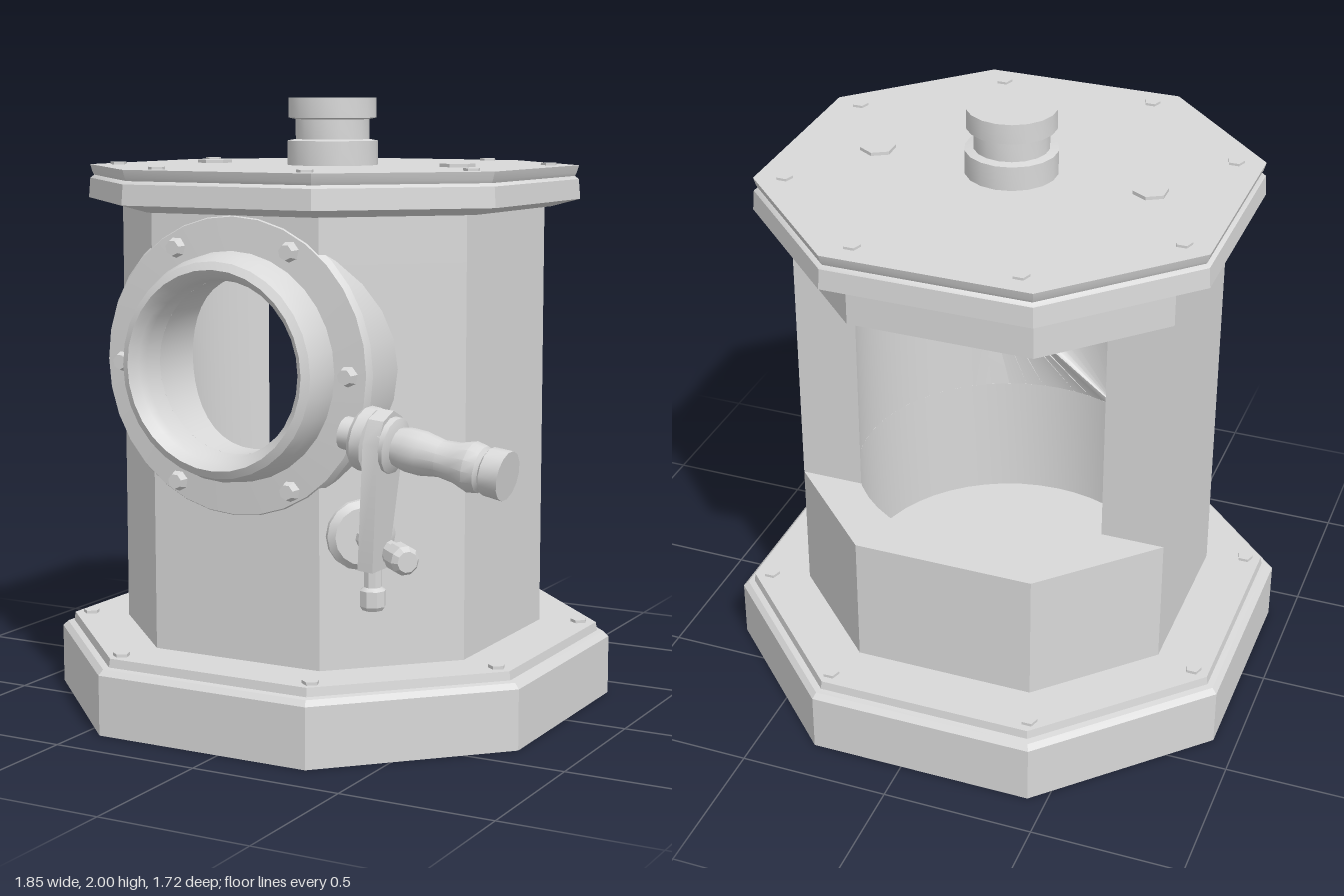
import * as THREE from 'three';
import { toCreasedNormals } from 'three/addons/utils/BufferGeometryUtils.js';

const AXIS = -0.065;          // x of the housing axis
const HALF = 0.635, FACE = 0.3; // body half width and half length of a straight face
const BORE = 0.52;            // radius of the round chamber
const SILL = 0.68, LINTEL = 1.5, PORT_Y = 1.175, PORT_R = 0.275;

const metal = new THREE.MeshStandardMaterial({ color: 0xd8d8d8 });
metal.name = 'grey metal';

const v2 = (list) => list.map(([x, y]) => new THREE.Vector2(x, y));

function add(parent, name, geometry, x = 0, y = 0, z = 0) {
  const mesh = new THREE.Mesh(toCreasedNormals(geometry, 0.5), metal);
  mesh.name = name;
  mesh.position.set(x, y, z);
  parent.add(mesh);
  return mesh;
}

// Change vertices by a rule
function reshape(geometry, rule) {
  const p = geometry.attributes.position;
  const v = new THREE.Vector3();
  for (let i = 0; i < p.count; i++) {
    rule(v.fromBufferAttribute(p, i));
    p.setXYZ(i, v.x, v.y, v.z);
  }
  return geometry;
}

// Eight-sided plate from a profile of [half width, height]
function octagonPlate(profile, ratio) {
  const geometry = new THREE.LatheGeometry(v2(profile), 8, Math.PI / 8);
  return reshape(geometry, (v) => {
    const half = Math.hypot(v.x, v.z);
    const alongX = Math.abs(v.x) > Math.abs(v.z);
    v.x = Math.sign(v.x) * half * (alongX ? 1 : ratio);
    v.z = Math.sign(v.z) * half * (alongX ? ratio : 1);
  });
}

function extrudeUp(shape, y0, y1) {
  const geometry = new THREE.ExtrudeGeometry(shape, { depth: y1 - y0, bevelEnabled: false, curveSegments: 24 });
  return geometry.rotateX(-Math.PI / 2).translate(0, y0, 0);
}

// Solid of revolution running from point a towards point b
function turned(parent, name, profile, a, b, sides = 12) {
  const mesh = add(parent, name, new THREE.LatheGeometry(v2(profile), sides), ...a);
  const dir = new THREE.Vector3(...b).sub(new THREE.Vector3(...a)).normalize();
  mesh.quaternion.setFromUnitVectors(new THREE.Vector3(0, 1, 0), dir);
}

function buildBody(housing) {
  // Closed rings below and above the rear opening
  const ring = new THREE.Shape(v2([
    [HALF, -FACE], [HALF, FACE], [FACE, HALF], [-FACE, HALF],
    [-HALF, FACE], [-HALF, -FACE], [-FACE, -HALF], [FACE, -HALF],
  ]));
  ring.holes.push(new THREE.Path().absarc(0, 0, BORE, 0, Math.PI * 2, true));
  add(housing, 'lowerBody', extrudeUp(ring, 0.24, SILL));
  add(housing, 'upperBody', extrudeUp(ring, LINTEL, 1.65));

  // Side walls beside the chamber
  const start = Math.asin(-FACE / BORE), end = Math.acos(FACE / BORE);
  for (const side of [1, -1]) {
    const points = [[FACE, HALF], [HALF, FACE], [HALF, -FACE]];
    for (let i = 0; i <= 14; i++) {
      const t = start + (end - start) * i / 14;
      points.push([BORE * Math.cos(t), BORE * Math.sin(t)]);
    }
    const shape = new THREE.Shape(v2(points.map(([x, z]) => [x * side, -z])));
    add(housing, side > 0 ? 'leftWall' : 'rightWall', extrudeUp(shape, SILL, LINTEL));
  }

  // Front wall with the round port, curved on the inside
  const edge = [];
  for (let i = -5; i <= 5; i++) edge.push([FACE * i / 5, SILL - PORT_Y]);
  for (let i = 5; i >= -5; i--) edge.push([FACE * i / 5, LINTEL - PORT_Y]);
  const panel = new THREE.Shape(v2(edge));
  panel.holes.push(new THREE.Path().absarc(0, 0, PORT_R, 0, Math.PI * 2, true));
  const wall = new THREE.ExtrudeGeometry(panel, { depth: 1, bevelEnabled: false, curveSegments: 20 });
  reshape(wall, (v) => { v.z = v.z > 0.5 ? HALF : Math.sqrt(BORE * BORE - v.x * v.x); });
  add(housing, 'frontWall', wall, 0, PORT_Y, 0);
}

function buildPort(housing) {
  // Flange whose back edge follows the faces of the body
  const flange = new THREE.LatheGeometry(v2([
    [0.478, 0.4], [0.478, 0.62], [0.465, 0.64], [0.36, 0.647], [0.352, 0.71],
    [0.335, 0.752], [0.31, 0.765], [0.285, 0.74], [PORT_R, 0.71], [PORT_R, HALF],
  ]), 32).rotateX(Math.PI / 2);
  reshape(flange, (v) => {
    if (v.z < 0.41) v.z = HALF + FACE - 0.02 - Math.max(Math.abs(v.x), FACE);
  });
  add(housing, 'portFlange', flange, 0, PORT_Y, 0);

  for (let i = 0; i < 6; i++) {
    const t = i * Math.PI / 3;
    const bolt = new THREE.CylinderGeometry(0.024, 0.034, 0.03, 7).rotateX(Math.PI / 2);
    add(housing, 'portBolt', bolt, 0.405 * Math.cos(t), PORT_Y - 0.005 + 0.425 * Math.sin(t), 0.655);
  }
}

// Bolts mirrored to all four quarters of a plate
function plateBolts(housing, name, y, spots) {
  for (const [x, z] of spots)
    for (const sx of [1, -1])
      for (const sz of [1, -1])
        add(housing, name, new THREE.CylinderGeometry(0.028, 0.028, 0.02, 5), x * sx, y, z * sz);
}

function buildCrank(parent) {
  const crank = new THREE.Group();
  crank.name = 'crank';
  parent.add(crank);

  // Round mount and shaft on the diagonal face
  turned(crank, 'crankMount', [[0, 0], [0.11, 0], [0.11, 0.035], [0.09, 0.055], [0, 0.055]],
    [0.315, 0.668, 0.53], [0.415, 0.668, 0.63], 16);
  turned(crank, 'crankShaft', [[0, 0], [0.035, 0], [0.035, 0.28], [0.045, 0.28], [0.045, 0.34], [0.032, 0.36], [0, 0.36]],
    [0.34, 0.663, 0.545], [0.6, 0.655, 0.77], 10);

  // Tapered arm
  const arm = new THREE.Shape(v2([[-0.05, -0.39], [0.05, -0.39], [0.085, 0], [0.06, 0.07],
    [0, 0.095], [-0.06, 0.07], [-0.085, 0]]));
  const armGeometry = new THREE.ExtrudeGeometry(arm, { depth: 0.05, bevelEnabled: false });
  armGeometry.translate(0, 0, -0.025).rotateY(Math.PI / 2);
  add(crank, 'crankArm', armGeometry, 0.508, 1.0, 0.735).rotation.z = -0.09;

  // Clamp pin under the arm
  turned(crank, 'clampPin', [[0, 0], [0.032, 0], [0.04, 0.012], [0.04, 0.06], [0.027, 0.07], [0.027, 0.19], [0, 0.19]],
    [0.468, 0.485, 0.725], [0.468, 1, 0.725], 8);

  // Hub nut, washer and grip on one sloping axis
  const from = [0.375, 1.015, 0.728], to = [0.915, 0.93, 0.745];
  turned(crank, 'crankHub', [[0, 0], [0.05, 0], [0.05, 0.055], [0.085, 0.055], [0.098, 0.07],
    [0.098, 0.105], [0.06, 0.115], [0.06, 0.15], [0.085, 0.15], [0.085, 0.175], [0.05, 0.19], [0, 0.19]], from, to, 14);
  turned(crank, 'crankGrip', [[0, 0.17], [0.055, 0.17], [0.066, 0.22], [0.066, 0.27], [0.055, 0.33], [0.06, 0.38],
    [0.076, 0.43], [0.07, 0.465], [0.058, 0.475], [0.072, 0.485], [0.074, 0.545], [0, 0.545]], from, to, 14);
}

export function createModel() {
  const model = new THREE.Group();
  model.name = 'machineHousing';
  const housing = new THREE.Group();
  housing.name = 'housing';
  housing.position.x = AXIS;
  model.add(housing);

  add(housing, 'base', octagonPlate([[0, 0], [0.858, 0], [0.858, 0.195], [0.842, 0.212],
    [0.822, 0.215], [0.818, 0.243], [0, 0.243]], 0.436));
  buildBody(housing);
  buildPort(housing);
  add(housing, 'lid', octagonPlate([[0, 1.645], [0.66, 1.645], [0.747, 1.67], [0.742, 1.735],
    [0.73, 1.745], [0.735, 1.755], [0.742, 1.78], [0, 1.78]], 0.45));

  // Stepped knob on the lid
  add(housing, 'topKnob', new THREE.LatheGeometry(v2([[0.15, 1.77], [0.15, 1.86], [0.122, 1.865],
    [0.122, 1.93], [0.145, 1.935], [0.145, 2], [0, 2]]), 18));

  // Bolts on the plates
  plateBolts(housing, 'baseBolt', 0.243, [[0.345, 0.77], [0.765, 0.335]]);
  plateBolts(housing, 'lidBolt', 1.778, [[0.265, 0.655], [0.65, 0.3]]);
  for (const x of [-0.458, 0.458])
    add(housing, 'lidHexBolt', new THREE.CylinderGeometry(0.058, 0.058, 0.03, 6), x, 1.776, 0);

  buildCrank(model);
  return model;
}
